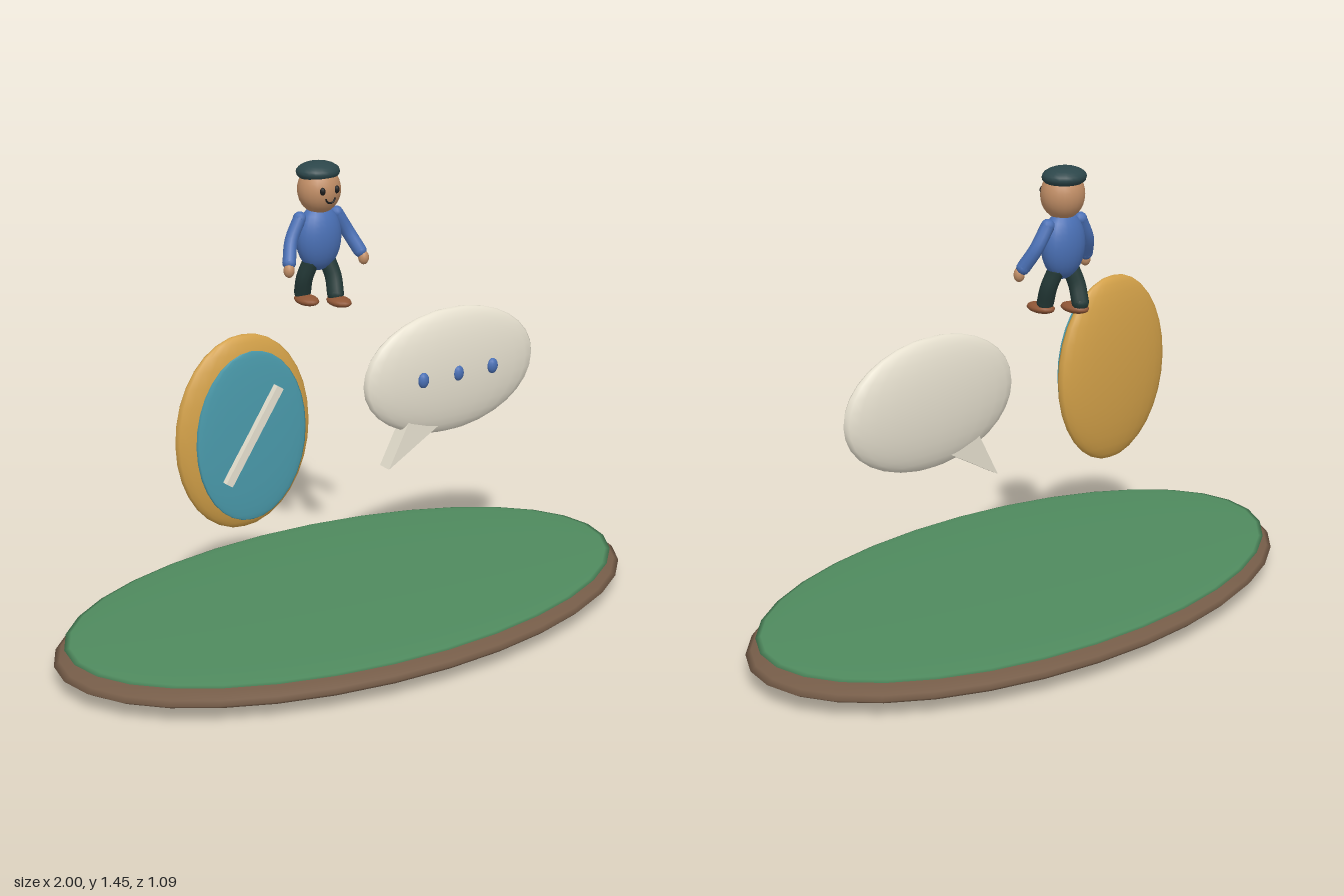
import * as THREE from 'three';

const mat = (color) => new THREE.MeshStandardMaterial({ color });
const M = {
  earth: mat(0x755c48), grass: mat(0x4f8a5e), gold: mat(0xd2a048), teal: mat(0x4a9aab),
  cream: mat(0xe6e0cf), blue: mat(0x4a70b5), dark: mat(0x243a38), hat: mat(0x2c464a),
  skin: mat(0xc18e66), shoe: mat(0x8f5636), black: mat(0x1c1c1c),
};

export function createModel() {
  const root = new THREE.Group();

  const add = (parent, name, geometry, material) => {
    const mesh = new THREE.Mesh(geometry, material);
    mesh.name = name;
    parent.add(mesh);
    return mesh;
  };
  // Ellipsoid from centre and radii
  const blob = (parent, name, material, c, r, w = 16, h = 12) => {
    const mesh = add(parent, name, new THREE.SphereGeometry(1, w, h).scale(...r), material);
    mesh.position.set(...c);
    return mesh;
  };
  // Rounded limb along a curve
  const limb = (parent, name, material, points, radius) => {
    const pts = points.map((p) => new THREE.Vector3(...p));
    add(parent, name, new THREE.TubeGeometry(new THREE.CatmullRomCurve3(pts), 8, radius, 10), material);
    for (const p of [points[0], points.at(-1)]) {
      blob(parent, name + 'End', material, p, [radius, radius, radius], 10, 8);
    }
  };

  // Oval island
  const island = new THREE.Group();
  island.name = 'island';
  root.add(island);
  blob(island, 'earth', M.earth, [0, 0.06, 0], [1, 0.06, 0.545], 32, 16);
  blob(island, 'grass', M.grass, [0, 0.105, 0], [0.965, 0.018, 0.525], 32, 16);

  // Gold-rimmed oval with a slanted bar
  const dial = new THREE.Group();
  dial.name = 'dial';
  dial.position.set(-0.38, 0.71, 0);
  root.add(dial);
  blob(dial, 'dialRim', M.gold, [0, 0, 0], [0.23, 0.302, 0.05], 24, 16);
  blob(dial, 'dialFace', M.teal, [0, 0, 0.05], [0.188, 0.263, 0.013], 24, 16);
  const bar = add(dial, 'dialBar', new THREE.BoxGeometry(0.025, 0.325, 0.02), M.cream);
  bar.position.set(-0.008, 0.01, 0.072);
  bar.rotation.z = -0.585;

  // Speech bubble with tail and three dots
  const bubble = new THREE.Group();
  bubble.name = 'bubble';
  bubble.position.set(0.375, 0.765, 0);
  root.add(bubble);
  blob(bubble, 'bubbleBody', M.cream, [0, 0, 0], [0.325, 0.202, 0.05], 24, 16);
  const tail = new THREE.Shape([[-0.245, -0.278], [-0.04, -0.16], [-0.165, -0.125]]
    .map(([x, y]) => new THREE.Vector2(x, y)));
  add(bubble, 'bubbleTail', new THREE.ExtrudeGeometry(tail, { depth: 0.05, bevelEnabled: false })
    .translate(0, 0, -0.025), M.cream);
  for (const x of [-0.133, 0, 0.133]) {
    blob(bubble, 'bubbleDot', M.blue, [x, 0, 0.047], [0.019, 0.025, 0.014], 12, 8);
  }

  // Walking figure
  const figure = new THREE.Group();
  figure.name = 'figure';
  figure.position.set(0, 1, -0.17);
  root.add(figure);
  blob(figure, 'torso', M.blue, [0, 0.21, 0], [0.076, 0.103, 0.052], 20, 16);
  blob(figure, 'head', M.skin, [0, 0.36, 0.003], [0.068, 0.074, 0.064], 20, 16);
  blob(figure, 'cap', M.hat, [0, 0.414, -0.003], [0.069, 0.031, 0.063], 20, 12);
  for (const side of [-1, 1]) {
    blob(figure, 'eye', M.black, [side * 0.025, 0.367, 0.062], [0.009, 0.012, 0.008], 10, 8);
    limb(figure, 'arm', M.blue,
      [[side * 0.066, 0.277, -0.003], [side * 0.102, 0.215, 0.005], [side * 0.128, 0.156, 0.034]], 0.021);
    blob(figure, 'hand', M.skin, [side * 0.135, 0.135, 0.044], [0.017, 0.022, 0.017], 12, 8);
    // The left leg steps forward, the right leg trails
    limb(figure, 'leg', M.dark,
      [[side * 0.03, 0.135, 0], [side * 0.041, 0.085, side * 0.017], [side * 0.037, 0.033, side * 0.036]], 0.026);
    blob(figure, 'foot', M.shoe, [side * 0.037, 0.014, side > 0 ? 0.055 : -0.013],
      [0.033, 0.016, 0.051], 14, 10);
  }
  const smile = add(figure, 'mouth', new THREE.TorusGeometry(0.016, 0.003, 6, 12, Math.PI), M.black);
  smile.rotation.z = Math.PI;
  smile.position.set(0, 0.345, 0.066);

  return root;
}
